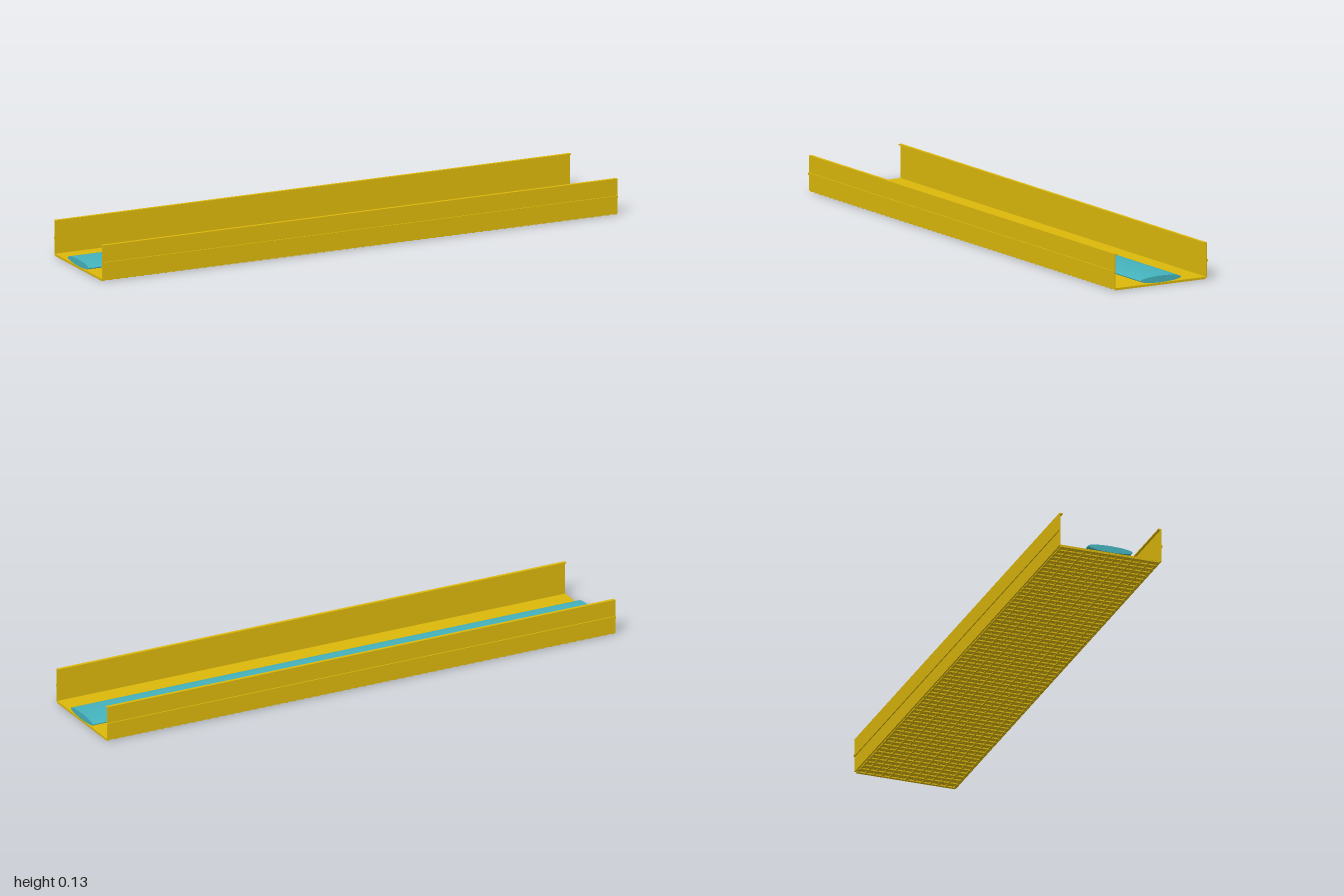
import * as THREE from 'three';

export function createModel() {
  const group = new THREE.Group();
  const gold = new THREE.MeshStandardMaterial({ color: 0xdcb80c });
  const teal = new THREE.MeshStandardMaterial({ color: 0x45b3bd });
  const length = 2;

  function add(name, geometry, material, x = 0, y = 0, z = 0) {
    const mesh = new THREE.Mesh(geometry, material);
    mesh.name = name;
    mesh.position.set(x, y, z);
    group.add(mesh);
    return mesh;
  }

  // Channel: floor, side walls with an outer bead, inward lips on top
  const half = [
    [0.19, 0.005], [0.19, 0.061], [0.194, 0.061], [0.194, 0.069], [0.19, 0.069],
    [0.19, 0.13], [0.178, 0.13], [0.178, 0.126], [0.186, 0.126], [0.186, 0.008],
  ];
  const mirrored = half.map(([x, y]) => [-x, y]).reverse();
  const profile = new THREE.Shape([...half, ...mirrored].map(([x, y]) => new THREE.Vector2(x, y)));
  const channel = new THREE.ExtrudeGeometry(profile, { depth: length, bevelEnabled: false });
  channel.translate(0, 0, -length / 2).rotateY(Math.PI / 2);
  add('channel', channel, gold);

  // Grid of shallow ribs under the floor
  const pitch = 0.0306;
  const crossRib = new THREE.BoxGeometry(0.01, 0.0055, 0.37);
  for (let i = 0; i <= 65; i++) {
    add('crossRib', crossRib, gold, (i - 32.5) * pitch, 0.00275, 0);
  }
  const longRib = new THREE.BoxGeometry(length, 0.004, 0.008);
  for (let i = 0; i <= 12; i++) {
    add('longRib', longRib, gold, 0, 0.0035, (i - 6) * 0.03);
  }

  // Flat oval core lying along the channel
  const core = new THREE.CylinderGeometry(1, 1, length, 48);
  core.rotateZ(Math.PI / 2).scale(1, 0.012, 0.083);
  add('ovalCore', core, teal, 0, 0.021, 0);

  return group;
}
